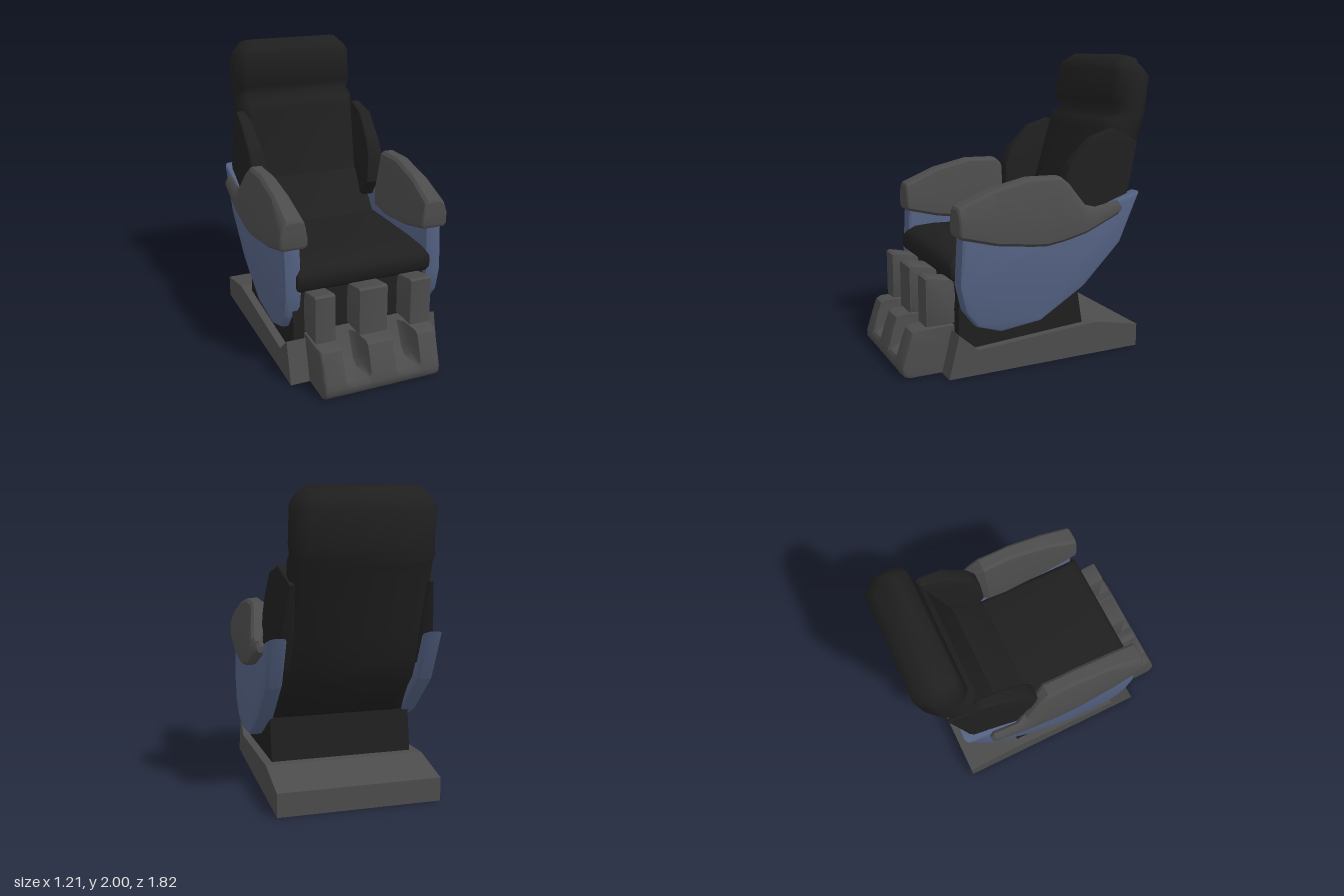
import * as THREE from 'three';
import { toCreasedNormals } from 'three/addons/utils/BufferGeometryUtils.js';

const BLACK = new THREE.MeshStandardMaterial({ color: 0x1f1f1f });
const GREY = new THREE.MeshStandardMaterial({ color: 0x4c4c4c });
const GREY_SHELL = new THREE.MeshStandardMaterial({ color: 0x4c4c4c, side: THREE.DoubleSide });
const BLUE = new THREE.MeshStandardMaterial({ color: 0x536182 });
const CENTRE = -0.015;
const SOFT = 0.9, SHARP = 0.1;

// Ramp from 0 to 1 as v goes from a to b
const ramp = (v, a, b) => THREE.MathUtils.clamp((v - a) / (b - a), 0, 1);
const lerp = THREE.MathUtils.lerp;

// Extrude a side profile of [z, y] points along x, centred on x = 0, with rounded edges
function sideExtrude(points, width, bevel) {
  const shape = new THREE.Shape(points.map(([z, y]) => new THREE.Vector2(-z, y)));
  const depth = width - 2 * bevel;
  return new THREE.ExtrudeGeometry(shape, {
    depth, bevelEnabled: bevel > 0, bevelThickness: bevel, bevelSize: bevel,
    bevelOffset: -bevel, bevelSegments: 2, steps: 1,
  }).translate(0, 0, -depth / 2).rotateY(Math.PI / 2);
}

// Move each vertex's x by a rule f(x, y, z); side = -1 mirrors the rule
function warp(geometry, f, side = 1) {
  const p = geometry.attributes.position;
  for (let i = 0; i < p.count; i++) {
    p.setX(i, side * f(side * p.getX(i), p.getY(i), p.getZ(i)));
  }
  return geometry;
}

// Skin a list of rows of [x, y, z] points
function loft(rows) {
  const n = rows[0].length, index = [];
  for (let i = 0; i < rows.length - 1; i++) {
    for (let j = 0; j < n - 1; j++) {
      const a = i * n + j, b = a + n;
      index.push(a, a + 1, b + 1, a, b + 1, b);
    }
  }
  const geometry = new THREE.BufferGeometry();
  geometry.setAttribute('position', new THREE.Float32BufferAttribute(rows.flat(2), 3));
  geometry.setIndex(index);
  return geometry;
}

// Close the first and last loop of a loft onto their middle
function capped(rows) {
  const cap = (row) => {
    const mid = [0, 1, 2].map((k) => row.slice(1).reduce((sum, p) => sum + p[k], 0) / (row.length - 1));
    return row.map(() => mid);
  };
  return [cap(rows[0]), ...rows, cap(rows[rows.length - 1])];
}

// Backrest with headrest: rows of [front z, front y, rear z, rear y, half width], corners cut off
function backrestGeometry() {
  const stations = [
    [-0.71, 2.0, -0.85, 1.955, 0.365], [-0.63, 1.94, -0.88, 1.905, 0.42], [-0.623, 1.9, -0.908, 1.85, 0.445],
    [-0.59, 1.68, -0.88, 1.62, 0.445], [-0.65, 1.62, -0.87, 1.56, 0.445], [-0.555, 1.575, -0.86, 1.53, 0.445],
    [-0.545, 1.5, -0.84, 1.47, 0.445], [-0.41, 1.04, -0.71, 1.09, 0.445], [-0.35, 0.88, -0.66, 0.93, 0.445],
    [-0.3, 0.75, -0.58, 0.78, 0.445], [-0.28, 0.5, -0.3, 0.5, 0.445],
  ];
  const half = [[0.07, 0], [0.025, 0.12], [0, 0.4], [0, 0.65], [0.08, 1]];
  const rows = stations.map(([fz, fy, rz, ry, w]) => {
    const point = (x, t) => [x, lerp(fy, ry, t), lerp(fz, rz, t)];
    const right = half.map(([inset, t]) => point(inset - w, t));
    const left = half.map(([inset, t]) => point(w - inset, t)).reverse();
    return [...right, ...left, right[0]];
  });
  return loft(capped(rows));
}

// Armrest: stations of [z, bottom, top, inset], narrower at the top, with a thin tail outside
function armrestGeometry(side) {
  const stations = [
    [0.59, 0.92, 1.08, 0.01], [0.58, 0.903, 1.095, 0], [0.35, 0.845, 1.19, 0], [0.1, 0.815, 1.245, 0],
    [0, 0.808, 1.243, 0], [-0.12, 0.825, 1.24, 0], [-0.18, 0.838, 1.19, 0], [-0.29, 0.865, 1.045, 0],
    [-0.36, 0.895, 1.03, 0], [-0.53, 0.97, 1.06, 0], [-0.555, 0.99, 1.03, 0.015],
  ];
  const rows = stations.map(([z, bottom, top, inset]) => {
    const h = top - bottom, r = Math.min(0.02, h / 3);
    const inner = 0.4 + 0.135 * ramp(z, -0.12, -0.36) + inset;
    const outer = 0.605 - 0.025 * ramp(z, 0.2, 0.59) - inset;
    const topIn = inner + 0.1 * h, topOut = outer - 0.13 * h;
    const section = [
      [inner, bottom + r], [inner, bottom + 0.35 * h], [topIn, top - r], [topIn + r, top],
      [topOut - r, top], [topOut, top - r], [outer, bottom + 0.5 * h], [outer, bottom + r],
      [outer - r, bottom], [inner + r, bottom], [inner, bottom + r],
    ];
    return section.map(([x, y]) => [side * x, y, z]);
  });
  return loft(capped(side > 0 ? rows : rows.reverse()));
}

// Footrest shell, open below and behind, blending between ridge and channel profiles of [z, y]
function footrestGeometry() {
  const ridge = [[0.89, 0.005], [0.912, 0.03], [0.915, 0.07], [0.9, 0.12], [0.868, 0.22], [0.84, 0.295], [0.81, 0.31], [0.55, 0.31]];
  const channel = [[0.89, 0.005], [0.912, 0.03], [0.915, 0.07], [0.895, 0.1], [0.77, 0.11], [0.71, 0.15], [0.635, 0.31], [0.55, 0.31]];
  const row = (x, w, shrink = 0) => ridge.map(([z, y], j) => {
    // Shrink towards the slanted back edge to form the rounded ends
    const t = j / (ridge.length - 1);
    const backZ = lerp(0.63, 0.55, t), backY = lerp(0.005, 0.31, t);
    return [x, lerp(lerp(y, channel[j][1], w), backY, shrink), lerp(lerp(z, channel[j][0], w), backZ, shrink)];
  });
  const rows = [row(0.392, 0, 1), row(0.392, 0, 0.1), row(0.383, 0, 0.03), row(0.365, 0)];
  for (const x of [0.16, -0.19]) {
    for (const [dx, w] of [[0.09, 0], [0.078, 0.75], [0.045, 1], [-0.045, 1], [-0.078, 0.75], [-0.09, 0]]) {
      rows.push(row(x + dx, w));
    }
  }
  rows.push(row(-0.395, 0), row(-0.413, 0, 0.03), row(-0.422, 0, 0.1), row(-0.422, 0, 1));
  return loft(rows);
}

export function createModel() {
  const group = new THREE.Group();
  const add = (name, geometry, material, x = 0, crease = 0.5) => {
    const mesh = new THREE.Mesh(toCreasedNormals(geometry, crease), material);
    mesh.name = name;
    mesh.position.x = x;
    group.add(mesh);
  };

  add('backrest', backrestGeometry(), BLACK, CENTRE, 2);

  // Lower back cushion sloping down to the seat
  add('lowerBackCushion', sideExtrude([
    [-0.4, 1.045], [-0.3, 0.93], [-0.16, 0.77], [-0.2, 0.7], [-0.45, 0.7], [-0.55, 0.85], [-0.52, 1.04],
  ], 0.85, 0.015), BLACK, CENTRE);

  // Seat cushion with rolled front edge
  const seat = sideExtrude([
    [0.61, 0.72], [0.61, 0.64], [0.57, 0.6], [-0.35, 0.6], [-0.35, 0.76], [-0.15, 0.78],
    [0.4, 0.8], [0.53, 0.79], [0.58, 0.76],
  ], 0.94, 0.02);
  add('seatCushion', warp(seat, (x, y) => x * (1 - 0.12 * ramp(y, 0.72, 0.8))), BLACK, -0.01, SOFT);

  // Pedestal under the seat
  add('pedestal', sideExtrude([
    [-0.35, 0.6], [-0.29, 0.5], [-0.34, 0.21], [-0.34, 0.1], [0.56, 0.1],
    [0.56, 0.42], [0.54, 0.62],
  ], 0.96, 0), BLACK, CENTRE, SHARP);

  // Hollow floor base: top and rear strip, side plates and front corner blocks
  add('baseTop', sideExtrude([
    [0.58, 0.28], [0.45, 0.165], [-0.42, 0.22], [-0.75, 0.155], [-0.75, 0],
    [-0.73, 0], [-0.73, 0.14], [-0.42, 0.2], [0.45, 0.145], [0.58, 0.25],
  ], 1.07, 0), GREY, CENTRE, SHARP);

  for (const side of [1, -1]) {
    const prefix = side > 0 ? 'left' : 'right';

    add(prefix + 'BasePlate', sideExtrude([
      [0.65, 0], [0.58, 0.28], [0.45, 0.165], [-0.42, 0.22], [-0.75, 0.155], [-0.75, 0],
    ], 0.02, 0), GREY, CENTRE + side * 0.525, SHARP);
    add(prefix + 'BaseFrontBlock', sideExtrude([
      [0.65, 0], [0.58, 0.28], [0.55, 0.25], [0.62, 0],
    ], 0.16, 0), GREY, CENTRE + side * 0.455, SHARP);

    // Side panel
    add(prefix + 'SidePanel', sideExtrude([
      [0.565, 0.95], [0.585, 0.6], [0.545, 0.43], [0.465, 0.325], [0.3, 0.272], [0.02, 0.303],
      [-0.3, 0.495], [-0.575, 0.765], [-0.72, 1.1], [-0.55, 1.05], [-0.3, 0.96],
    ], 0.115, 0.025), BLUE, side * 0.497);

    add(prefix + 'Armrest', armrestGeometry(side), GREY);

    // Shoulder wing beside the backrest, thinner towards the rear and the top
    const wing = sideExtrude([
      [-0.18, 1.19], [-0.23, 1.3], [-0.4, 1.47], [-0.56, 1.52], [-0.77, 1.42],
      [-0.68, 1.1], [-0.58, 0.88], [-0.25, 0.88], [-0.17, 1.0],
    ], 0.12, 0.02);
    add(prefix + 'ShoulderWing', warp(wing, (x, y, z) => {
      const inner = 0.36 + 0.04 * ramp(y, 0.88, 1.45) + 0.02 * ramp(z, -0.3, -0.6);
      const outer = 0.545 - 0.05 * ramp(y, 0.95, 1.5) - 0.05 * ramp(z, -0.5, -0.75)
        - 0.025 * ramp(z, -0.38, -0.18);
      return lerp(inner, outer, (x + 0.06) / 0.12);
    }, side), BLACK, CENTRE);
  }

  // Three calf pads above the two-channel footrest
  for (const [name, x0, x1] of [['right', -0.42, -0.28], ['middle', -0.12, 0.08], ['left', 0.24, 0.39]]) {
    add(name + 'CalfPad', sideExtrude([
      [0.75, 0.32], [0.75, 0.63], [0.73, 0.64], [0.56, 0.605], [0.53, 0.32],
    ], x1 - x0, 0.01), GREY, (x0 + x1) / 2);
  }
  add('footrest', footrestGeometry(), GREY_SHELL, 0, 0.7);

  return group;
}
